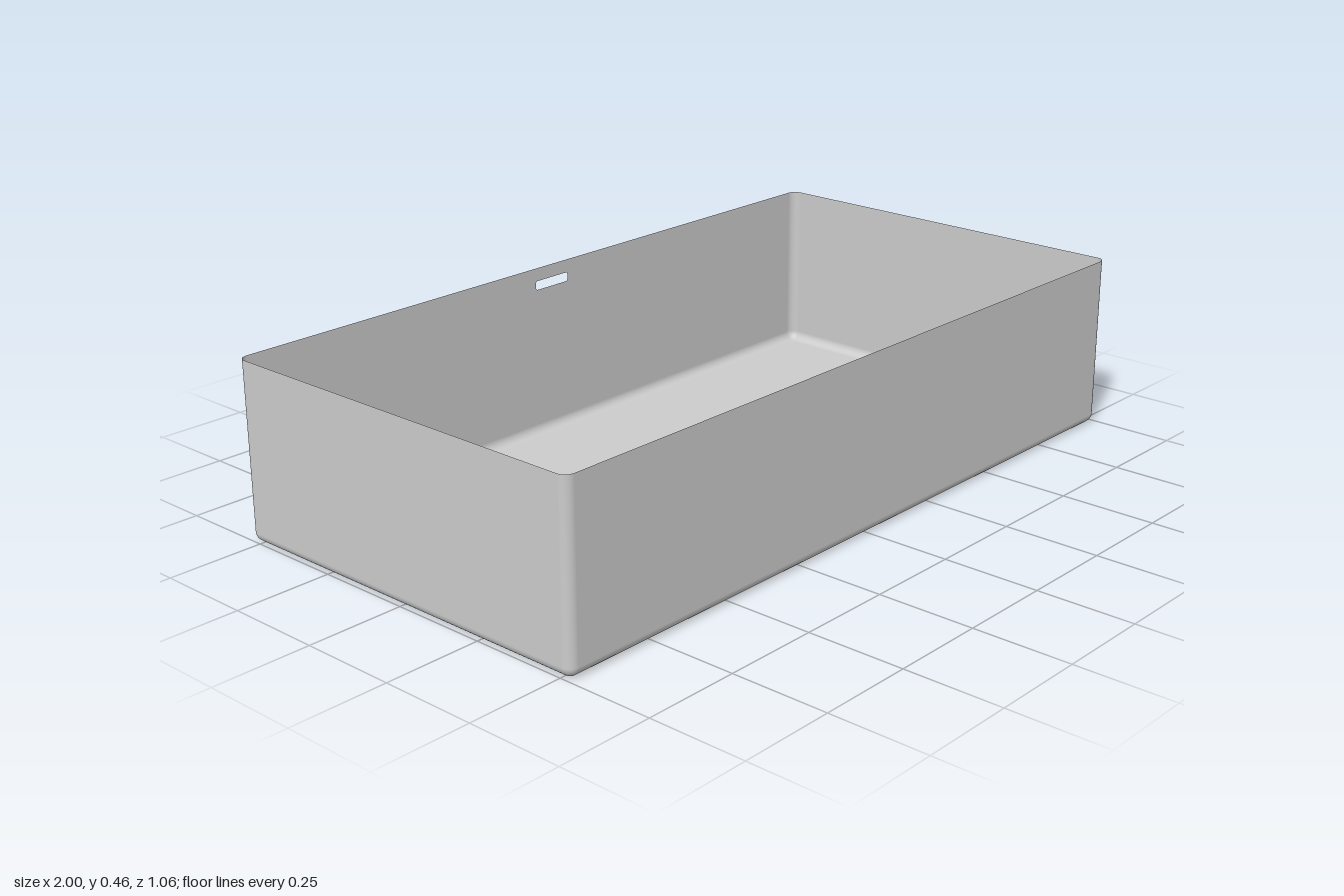
import * as THREE from 'three';

const W = 1, D = 0.53, H = 0.455, R = 0.025; // half width, half depth, height, edge radius
const N = 8; // segments per rounded corner

// Rectangle outline centred on (cx, cy) with optional corner radius
function rect(Type, cx, cy, w, h, r = 0) {
  const p = new Type(), x0 = cx - w / 2, x1 = cx + w / 2, y0 = cy - h / 2, y1 = cy + h / 2;
  p.moveTo(x0 + r, y0).lineTo(x1 - r, y0);
  if (r) p.absarc(x1 - r, y0 + r, r, -Math.PI / 2, 0);
  p.lineTo(x1, y1 - r);
  if (r) p.absarc(x1 - r, y1 - r, r, 0, Math.PI / 2);
  p.lineTo(x0 + r, y1);
  if (r) p.absarc(x0 + r, y1 - r, r, Math.PI / 2, Math.PI);
  p.lineTo(x0, y0 + r);
  if (r) p.absarc(x0 + r, y0 + r, r, Math.PI, Math.PI * 1.5);
  return p;
}

// Rounded bottom edge, rounded corners and walls; the flat back panel is left open
function wallGeometry() {
  const pos = [], nor = [], idx = [];
  const rings = [];
  for (let i = 0; i <= N; i++) {
    const t = (i / N) * Math.PI / 2;
    rings.push({ r: R * Math.sin(t), y: R - R * Math.cos(t), up: -Math.cos(t), out: Math.sin(t) });
  }
  rings.push({ r: R, y: H, up: 0, out: 1 });
  const count = 4 * (N + 1);
  for (const g of rings) {
    for (let k = 0; k < 4; k++) {
      const sx = k === 0 || k === 3 ? 1 : -1, sz = k < 2 ? 1 : -1;
      for (let j = 0; j <= N; j++) {
        const a = (k + j / N) * Math.PI / 2, c = Math.cos(a), s = Math.sin(a);
        pos.push(sx * (W - R) + c * g.r, g.y, sz * (D - R) + s * g.r);
        nor.push(c * g.out, g.up, s * g.out);
      }
    }
  }
  for (let i = 0; i < rings.length - 1; i++) {
    for (let j = 0; j < count; j++) {
      if (i === N && j === 3 * (N + 1) - 1) continue; // back panel opening
      const a = i * count + j, b = i * count + (j + 1) % count;
      idx.push(a, a + count, b + count, a, b + count, b);
    }
  }
  const geo = new THREE.BufferGeometry();
  geo.setAttribute('position', new THREE.Float32BufferAttribute(pos, 3));
  geo.setAttribute('normal', new THREE.Float32BufferAttribute(nor, 3));
  geo.setIndex(idx);
  return geo;
}

export function createModel() {
  const basin = new THREE.Group();
  basin.name = 'basin';
  const material = new THREE.MeshStandardMaterial({ color: 0xcccccc, side: THREE.DoubleSide });
  const add = (name, geo) => {
    const mesh = new THREE.Mesh(geo, material);
    mesh.name = name;
    basin.add(mesh);
  };

  add('walls', wallGeometry());

  // Back panel with the overflow slot
  const back = rect(THREE.Shape, 0, (H + R) / 2, 2 * (W - R), H - R);
  back.holes.push(rect(THREE.Path, 0, 0.408, 0.115, 0.024, 0.006));
  add('backPanel', new THREE.ShapeGeometry(back, 6).rotateY(Math.PI).translate(0, 0, -D));

  // Floor with a flush drain cover
  const drainZ = -0.035, drainR = 0.093;
  const floor = rect(THREE.Shape, 0, 0, 2 * (W - R), 2 * (D - R));
  floor.holes.push(new THREE.Path().absarc(0, drainZ, drainR, 0, Math.PI * 2));
  add('floor', new THREE.ShapeGeometry(floor, 24).rotateX(Math.PI / 2));
  add('drainCover', new THREE.CircleGeometry(drainR, 48).rotateX(Math.PI / 2).translate(0, 0, drainZ));

  return basin;
}
